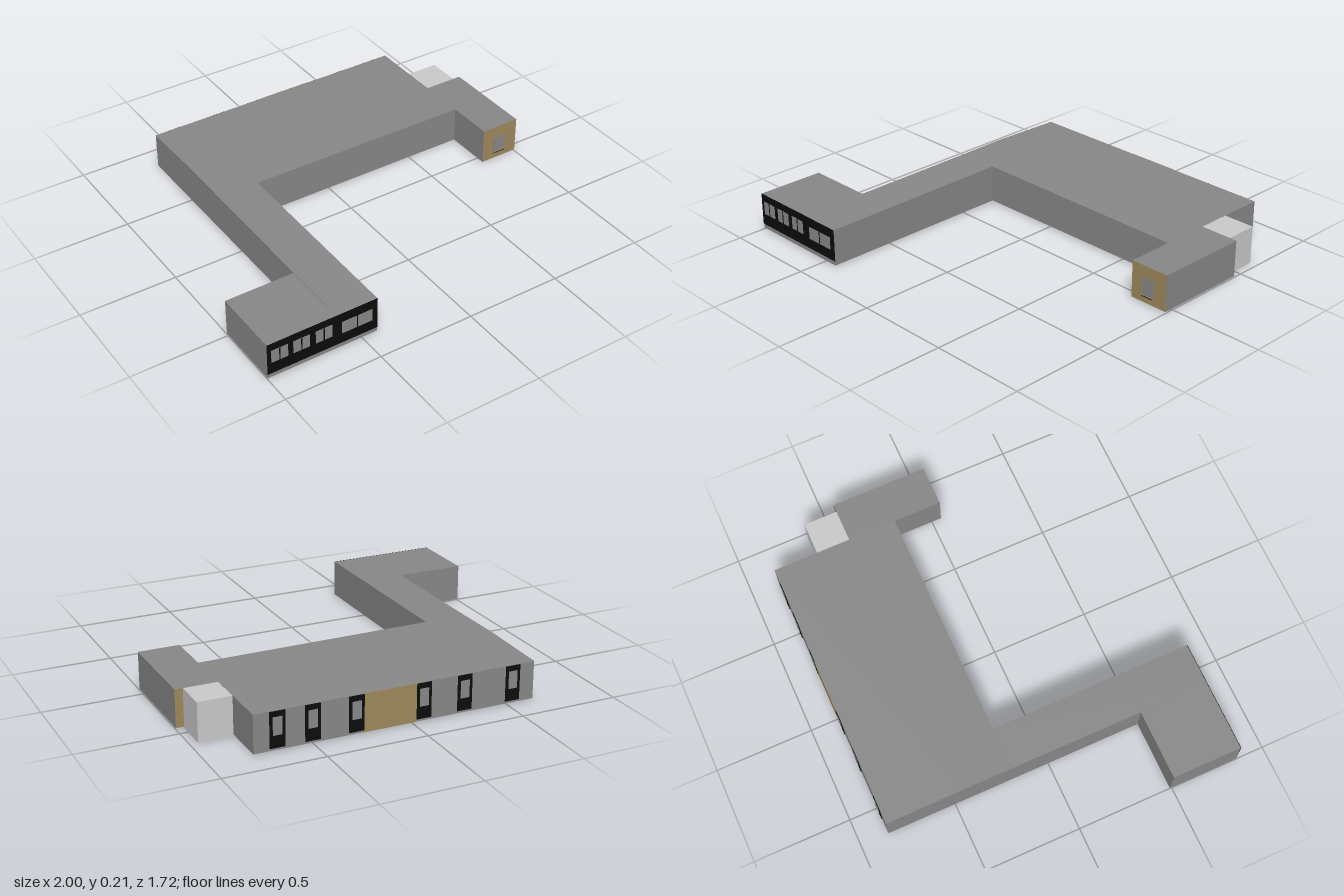
import * as THREE from 'three';

const make = (name, color) => Object.assign(new THREE.MeshStandardMaterial({ color }), { name });
const wall = make('wall grey', 0x888888);
const tan = make('tan', 0x9e8a5c);
const blue = make('floor blue', 0x7484ac);
const light = make('light grey', 0xcacaca);
const black = make('black', 0x0c0c0c);
const BASE = 0.007;

export function createModel() {
  const model = new THREE.Group();

  // Room block; heights are at the corners (x0,z0), (x1,z0), (x0,z1), (x1,z1).
  // faces replaces materials by side: 0 +x, 1 -x, 2 top, 3 floor, 4 +z, 5 -z
  function room(name, [x0, x1], [z0, z1], heights, faces = {}, base = BASE, main = wall) {
    const geo = new THREE.BoxGeometry(1, 1, 1);
    const p = geo.attributes.position;
    for (let i = 0; i < p.count; i++) {
      const right = p.getX(i) > 0, front = p.getZ(i) > 0, top = p.getY(i) > 0;
      const h = heights[(front ? 2 : 0) + (right ? 1 : 0)];
      p.setXYZ(i, right ? x1 : x0, top ? h : base, front ? z1 : z0);
    }
    geo.computeVertexNormals();
    const mesh = new THREE.Mesh(geo, [0, 1, 2, 3, 4, 5].map(i => faces[i] ?? main));
    mesh.name = name;
    model.add(mesh);
  }

  // Thin upright plate facing +z or -z
  function plate(name, x0, x1, y0, y1, z, material, depth = 0.003) {
    const mesh = new THREE.Mesh(new THREE.BoxGeometry(x1 - x0, y1 - y0, depth), material);
    mesh.position.set((x0 + x1) / 2, (y0 + y1) / 2, z);
    mesh.name = name;
    model.add(mesh);
  }

  // Hall and the corridors around it, with gently sloping roofs
  room('hall', [-0.64, 0.79], [-0.855, -0.45], [0.197, 0.197, 0.207, 0.198], { 3: tan });
  room('mainCorridor', [-0.64, 0.79], [-0.45, -0.2], [0.207, 0.198, 0.204, 0.198]);
  room('westCorridor', [-0.64, -0.42], [-0.2, 0.85], [0.204, 0.203, 0.198, 0.198]);
  room('frontRoom', [-1, -0.64], [0.49, 0.85], [0.198, 0.198, 0.198, 0.198], { 3: blue });
  room('eastWing', [0.79, 1], [-0.45, 0.05], [0.198, 0.198, 0.198, 0.198], { 4: tan, 5: tan });
  room('annex', [0.79, 0.96], [-0.625, -0.45], [0.197, 0.197, 0.197, 0.197], {}, 0, light);

  // Front facade with its windows
  plate('frontFacade', -1, -0.42, 0.03, 0.198, 0.851, black);
  for (const x of [-0.98, -0.867, -0.75]) plate('frontWindow', x, x + 0.086, 0.092, 0.16, 0.853, wall);
  plate('wideFrontWindow', -0.612, -0.45, 0.085, 0.15, 0.853, wall);
  for (const x of [-0.937, -0.824, -0.707, -0.531]) {
    plate('windowBar', x - 0.003, x + 0.003, 0.085, 0.16, 0.8545, black, 0.002);
  }

  // East wing door
  plate('door', 0.857, 0.925, 0.045, 0.135, 0.051, wall);
  plate('doorStep', 0.852, 0.93, 0.035, 0.046, 0.052, tan, 0.005);
  plate('doorStepLine', 0.857, 0.925, 0.039, 0.042, 0.054, black);

  // Back wall: tan panel and six tall windows
  plate('backPanel', -0.02, 0.255, BASE, 0.197, -0.856, tan);
  for (const x of [0.675, 0.503, 0.287, -0.055, -0.268, -0.525]) {
    plate('backWindowFrame', x - 0.038, x + 0.038, 0.018, 0.195, -0.857, black);
    plate('backWindowPane', x - 0.023, x + 0.023, 0.08, 0.168, -0.859, wall);
  }
  return model;
}
